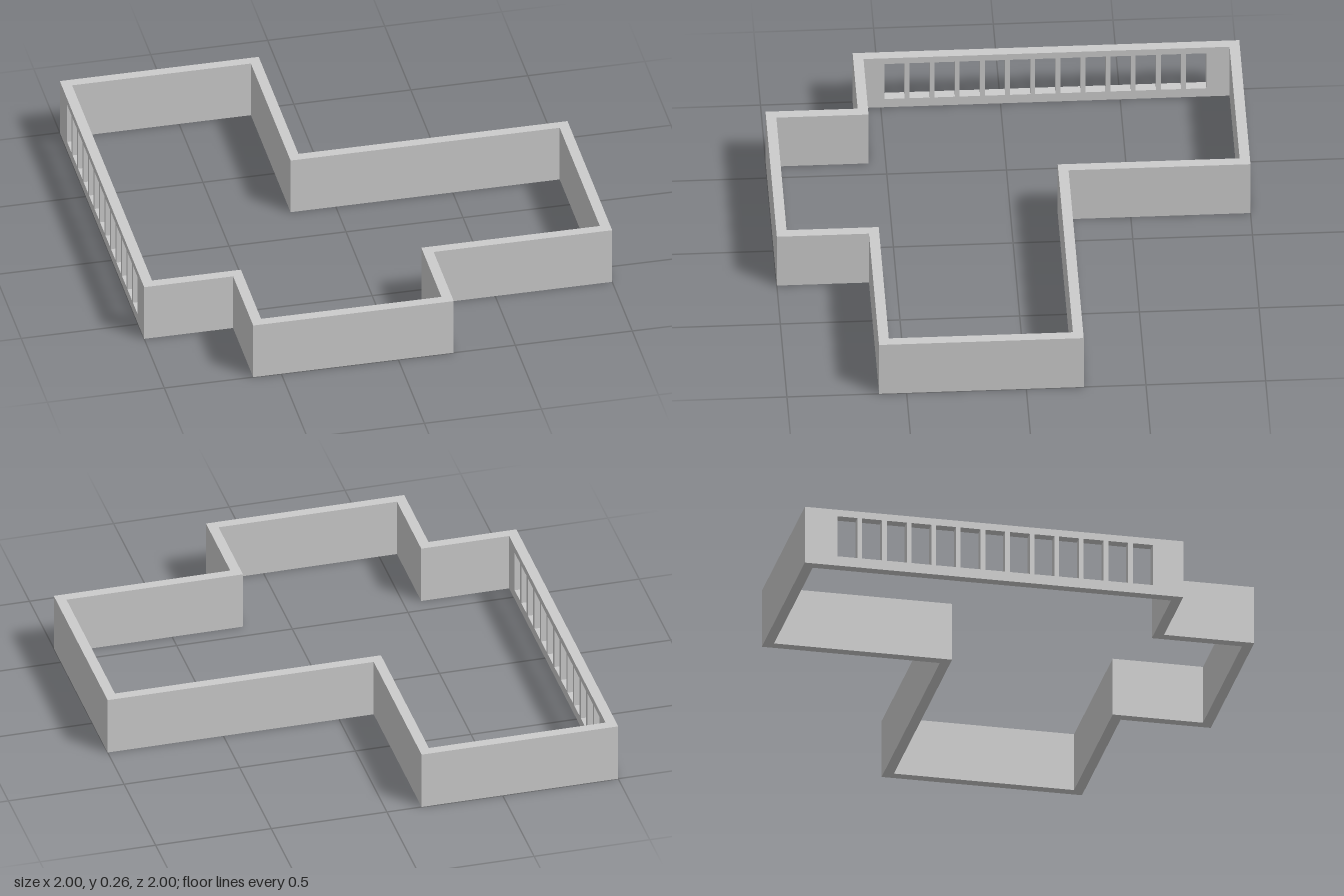
import * as THREE from 'three';

const H = 0.257; // wall height
const T = 0.043; // wall thickness

export function createModel() {
  const group = new THREE.Group();
  const material = new THREE.MeshStandardMaterial({ color: 0xcccccc });
  const add = (name, geometry) => {
    const mesh = new THREE.Mesh(geometry, material);
    mesh.name = name;
    group.add(mesh);
  };

  // Solid perimeter walls: floor plan as [x, z], outer line out and inner line back
  const outer = [
    [-1, -1], [-0.15, -1], [-0.15, -0.24], [1, -0.24], [1, 0.615],
    [0.237, 0.615], [0.237, 1], [-0.62, 1], [-0.62, 0.615], [-1, 0.615],
  ];
  const inner = [
    [-1, 0.615 - T], [-0.62 + T, 0.615 - T], [-0.62 + T, 1 - T], [0.237 - T, 1 - T],
    [0.237 - T, 0.615 - T], [1 - T, 0.615 - T], [1 - T, -0.24 + T],
    [-0.15 - T, -0.24 + T], [-0.15 - T, -1 + T], [-1, -1 + T],
  ];
  const plan = new THREE.Shape([...outer, ...inner].map(([x, z]) => new THREE.Vector2(x, -z)));
  const walls = new THREE.ExtrudeGeometry(plan, { depth: H, bevelEnabled: false });
  walls.rotateX(-Math.PI / 2);
  add('perimeterWalls', walls);

  // Side wall pierced by a row of tall openings between thin fins
  const rect = (Type, z0, y0, z1, y1) => new Type([
    new THREE.Vector2(z0, y0), new THREE.Vector2(z1, y0),
    new THREE.Vector2(z1, y1), new THREE.Vector2(z0, y1),
  ]);
  const elevation = rect(THREE.Shape, -1 + T, 0, 0.615 - T, H);
  const count = 13, start = -0.86, end = 0.485, fin = 0.02;
  const pitch = (end - start + fin) / count;
  for (let i = 0; i < count; i++) {
    const z = start + i * pitch;
    elevation.holes.push(rect(THREE.Path, z, 0.043, z + pitch - fin, H - 0.03));
  }
  const windowWall = new THREE.ExtrudeGeometry(elevation, { depth: T, bevelEnabled: false });
  windowWall.rotateY(-Math.PI / 2).translate(-1 + T, 0, 0);
  add('windowWall', windowWall);

  return group;
}
